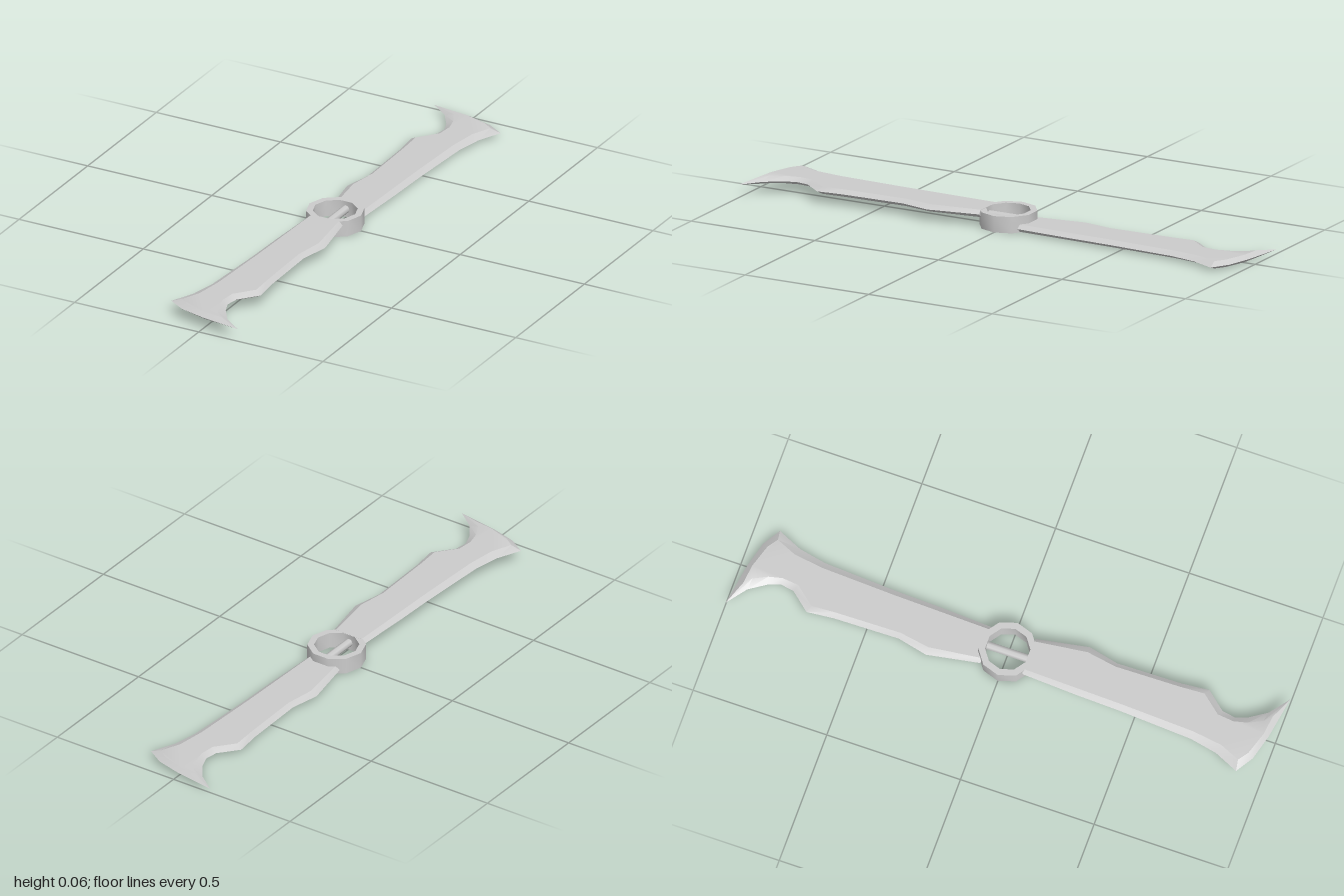
import * as THREE from 'three';
import { toCreasedNormals } from 'three/addons/utils/BufferGeometryUtils.js';

const HALF = 0.0135; // half thickness of a blade
const CX = -0.003;   // ring centre

// Blade outline: sharp edge x, z and the matching flat-face corner x, z
const OUTLINE = [
  [-0.07, 0.078, -0.055, 0.078],
  [-0.08, 0.28, -0.06, 0.28],
  [-0.085, 0.45, -0.064, 0.45],
  [-0.1, 0.72, -0.075, 0.72],
  [-0.12, 0.82, -0.09, 0.83],
  [-0.16, 0.91, -0.122, 0.904],
  [-0.095, 0.95, -0.085, 0.93],
  [0.0, 0.975, 0.0, 0.957],
  [0.157, 1.0, 0.07, 0.965],
  [0.085, 0.945, 0.045, 0.94],
  [0.045, 0.885, 0.02, 0.89],
  [0.028, 0.84, 0.008, 0.84],
  [0.036, 0.79, 0.014, 0.78],
  [0.095, 0.72, 0.072, 0.71],
  [0.085, 0.62, 0.067, 0.62],
  [0.08, 0.38, 0.062, 0.38],
  [0.105, 0.27, 0.08, 0.27],
  [0.07, 0.078, 0.055, 0.078],
];

// Flat top and bottom faces joined to a sharp rim by bevels
function bladeGeometry() {
  const pos = [];
  const tri = (a, b, c) => pos.push(...a, ...b, ...c);
  const edge = OUTLINE.map(([x, z]) => [x, 0, z]);
  const flat = (y) => OUTLINE.map(([, , x, z]) => [x, y, z]);
  const top = flat(HALF), bottom = flat(-HALF);

  const contour = OUTLINE.map(([, , x, z]) => new THREE.Vector2(x, z));
  for (let [a, b, c] of THREE.ShapeUtils.triangulateShape(contour, [])) {
    const area = THREE.ShapeUtils.area([contour[a], contour[b], contour[c]]);
    if (area > 0) [b, c] = [c, b]; // clockwise in xz faces up
    tri(top[a], top[b], top[c]);
    tri(bottom[a], bottom[c], bottom[b]);
  }
  for (let i = 0; i < edge.length; i++) {
    const j = (i + 1) % edge.length;
    tri(edge[i], edge[j], top[j]);
    tri(edge[i], top[j], top[i]);
    tri(edge[i], bottom[j], edge[j]);
    tri(edge[i], bottom[i], bottom[j]);
  }
  const geo = new THREE.BufferGeometry();
  geo.setAttribute('position', new THREE.Float32BufferAttribute(pos, 3));
  return toCreasedNormals(geo, 0.4);
}

export function createModel() {
  const group = new THREE.Group();
  const material = new THREE.MeshStandardMaterial({ color: 0xcccccc });
  const add = (name, geo, x, y) => {
    const mesh = new THREE.Mesh(geo, material);
    mesh.name = name;
    mesh.position.set(x, y, 0);
    group.add(mesh);
    return mesh;
  };

  // Two blades, half a turn apart and stacked at different heights
  const blade = bladeGeometry();
  add('frontBlade', blade, 0, 0.047);
  add('backBlade', blade, 0, 0.0155).rotation.y = Math.PI;

  // Ten-sided hub ring
  const profile = [[0.104, 0], [0.104, 0.06], [0.08, 0.06], [0.08, 0], [0.104, 0]]
    .map(([r, y]) => new THREE.Vector2(r, y));
  const ring = new THREE.LatheGeometry(profile, 10, Math.PI / 2);
  add('hubRing', toCreasedNormals(ring, 0.8), CX, 0);

  // Grip bar across the ring
  const bar = new THREE.CylinderGeometry(0.015, 0.015, 0.17, 8).rotateX(Math.PI / 2);
  add('gripBar', bar, CX, 0.03);

  return group;
}
